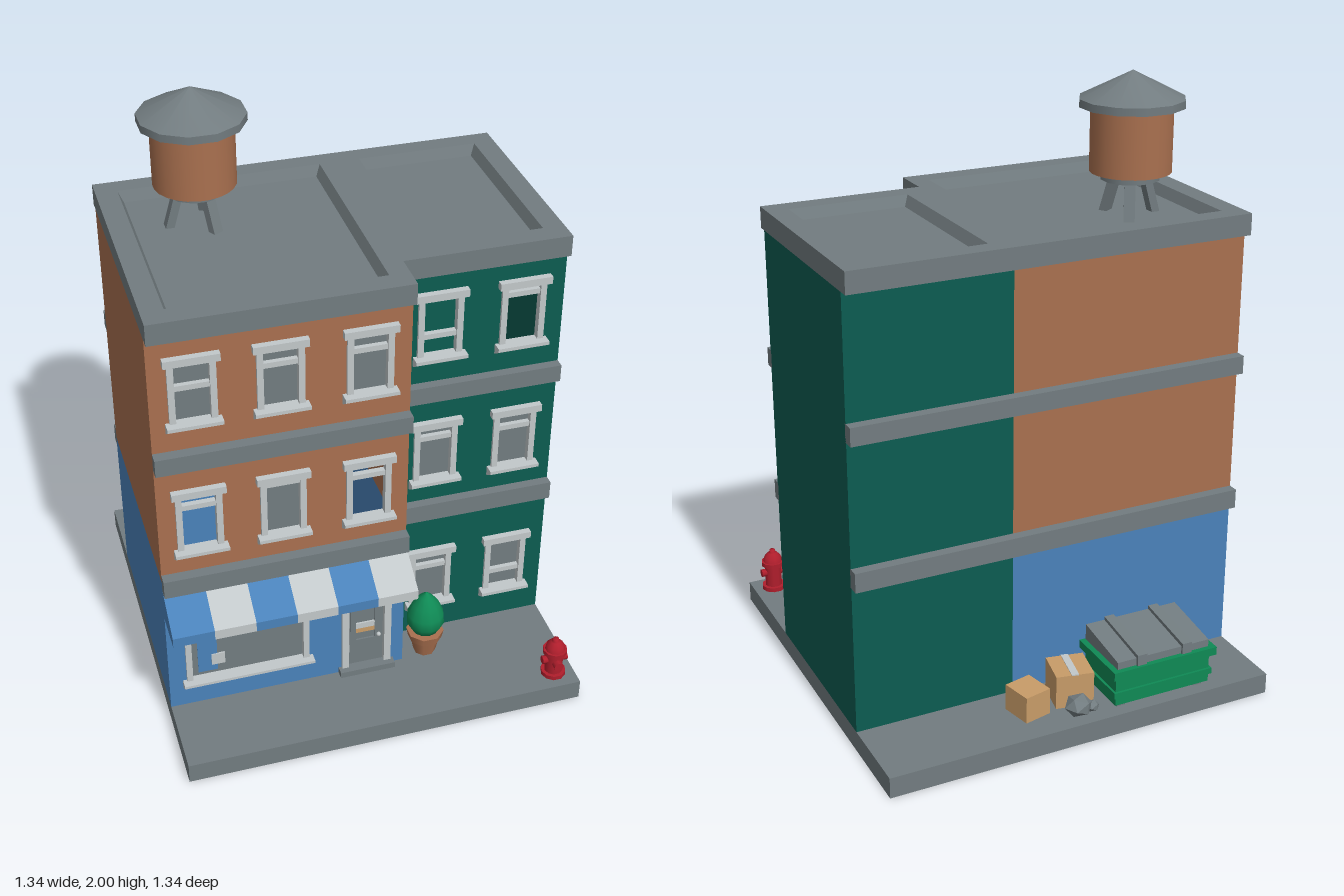
import * as THREE from 'three';

const mat = (name, color) => Object.assign(new THREE.MeshStandardMaterial({ color, side: THREE.DoubleSide }), { name });

export function createModel() {
  const root = new THREE.Group();
  const grey = mat('concrete grey', 0x727c80), brick = mat('brick orange', 0xa9704f);
  const blue = mat('shop blue', 0x4a82ba), teal = mat('wall dark green', 0x0c5c51);
  const white = mat('trim white', 0xc2c8ca), green = mat('leaf green', 0x0f8a55);
  const red = mat('hydrant red', 0xb01e2c), card = mat('cardboard tan', 0xc89c68);

  const add = (name, geo, m, x = 0, y = 0, z = 0, parent = root) => {
    const mesh = new THREE.Mesh(geo, m);
    mesh.name = name;
    mesh.position.set(x, y, z);
    parent.add(mesh);
    return mesh;
  };
  // Box given by its limits
  const box = (name, m, x0, x1, y0, y1, z0, z1, parent) =>
    add(name, new THREE.BoxGeometry(x1 - x0, y1 - y0, z1 - z0), m, (x0 + x1) / 2, (y0 + y1) / 2, (z0 + z1) / 2, parent);
  // Side profile of [z, y] points swept along x
  const sweep = (name, m, pts, x0, x1, parent) => {
    const g = new THREE.ExtrudeGeometry(new THREE.Shape(pts.map(p => new THREE.Vector2(...p))), { depth: x1 - x0, bevelEnabled: false });
    return add(name, g.rotateY(-Math.PI / 2), m, x1, 0, 0, parent);
  };
  const rectPath = (p, x0, x1, y0, y1) =>
    p.moveTo(x0, y0).lineTo(x1, y0).lineTo(x1, y1).lineTo(x0, y1).closePath();
  // Wall facing +z with rectangular openings
  const frontWall = (name, m, x0, x1, y0, y1, z, holes) => {
    const s = new THREE.Shape();
    rectPath(s, x0, x1, y0, y1);
    for (const h of holes) { const p = new THREE.Path(); rectPath(p, ...h); s.holes.push(p); }
    add(name, new THREE.ExtrudeGeometry(s, { depth: 0.02, bevelEnabled: false }), m, 0, 0, z - 0.02);
  };

  box('pavement', grey, -0.67, 0.67, 0, 0.07, -0.67, 0.67);

  // Windows: [x, base y, wall z, bar height, glazed]
  const windows = [
    [-0.54, 1.2, 0.4, 0.13, true], [-0.275, 1.2, 0.4, 0.16, true], [0, 1.2, 0.4, 0.16, true],
    [0.265, 1.2, 0.27, 0.08, false], [0.535, 1.2, 0.27, 0.185, false],
    [-0.54, 0.72, 0.4, 0.17, false], [-0.275, 0.72, 0.4, 0.2, true], [0, 0.72, 0.4, 0.17, false],
    [0.265, 0.72, 0.27, 0.17, true], [0.535, 0.72, 0.27, 0.16, true],
    [0.265, 0.19, 0.27, 0.16, true], [0.535, 0.19, 0.27, 0.08, true],
  ];
  const openings = list => list.map(([x, y]) => [x - 0.065, x + 0.065, y, y + 0.22]);

  // Hollow walls
  frontWall('shopFront', blue, -0.67, 0.13, 0.07, 0.61, 0.4, [[-0.61, -0.2, 0.17, 0.42], [-0.075, 0.075, 0.08, 0.42]]);
  frontWall('brickFront', brick, -0.67, 0.13, 0.61, 1.51, 0.4, openings(windows.filter(w => w[2] > 0.3)));
  frontWall('greenFront', teal, 0.13, 0.67, 0.07, 1.51, 0.27, openings(windows.filter(w => w[2] < 0.3)));
  for (const [m, y0, y1, n] of [[blue, 0.07, 0.61, 'shop'], [brick, 0.61, 1.51, 'brick']]) {
    box(n + 'LeftWall', m, -0.67, -0.66, y0, y1, -0.4, 0.38);
    box(n + 'RightWall', m, 0.12, 0.13, y0, y1, -0.39, 0.38);
    box(n + 'BackWall', m, -0.66, 0.13, y0, y1, -0.4, -0.39);
  }
  box('greenSideWall', teal, 0.66, 0.67, 0.07, 1.51, -0.4, 0.25);
  box('greenBackWall', teal, 0.13, 0.66, 0.07, 1.51, -0.4, -0.39);

  for (const [x, y, z, bar, glazed] of windows) {
    const w = new THREE.Group();
    w.name = 'window';
    w.position.set(x, y, z);
    root.add(w);
    box('lintel', white, -0.085, 0.085, 0.215, 0.24, -0.015, 0.022, w);
    sweep('sill', white, [[-0.015, -0.022], [0.005, -0.022], [0.035, 0], [0.035, 0.012], [-0.015, 0.012]], -0.085, 0.085, w);
    for (const s of [-1, 1]) box('jamb', white, s * 0.063 - 0.01, s * 0.063 + 0.01, 0.012, 0.215, -0.015, 0.01, w);
    box('sashBar', white, -0.054, 0.054, bar - 0.009, bar + 0.009, -0.015, 0.004, w);
    if (glazed) box('pane', grey, -0.06, 0.06, 0, 0.22, -0.018, -0.012, w);
  }

  // Floor bands
  for (const [y0, y1] of [[0.575, 0.64], [1.05, 1.11]]) {
    box('brickBand', grey, -0.67, 0.13, y0, y1, 0.395, 0.437);
    box('greenBand', grey, 0.13, 0.67, y0, y1, 0.265, 0.302);
    box('backBand', grey, -0.67, 0.67, y0, y1, -0.435, -0.395);
  }

  // Roof slab with two sunken basins (shape y is -z)
  const roof = new THREE.Shape([[-0.67, -0.435], [0.13, -0.435], [0.13, -0.3], [0.67, -0.3], [0.67, 0.435], [-0.67, 0.435]]
    .map(p => new THREE.Vector2(...p)));
  for (const r of [[-0.6, 0.065, -0.365, 0.37], [0.2, 0.6, -0.23, 0.37]]) {
    const hole = new THREE.Path();
    rectPath(hole, ...r);
    roof.holes.push(hole);
    const [x0, x1, a, b] = r, t = 0.016, v = [];
    for (const [d, y] of [[0, 1.58], [t, 1.545]])
      v.push([x0 + d, y, -b + d], [x1 - d, y, -b + d], [x1 - d, y, -a - d], [x0 + d, y, -a - d]);
    const tris = [4, 7, 6, 4, 6, 5];
    for (let i = 0; i < 4; i++) { const j = (i + 1) % 4; tris.push(i, i + 4, j + 4, i, j + 4, j); }
    const g = new THREE.BufferGeometry();
    g.setAttribute('position', new THREE.Float32BufferAttribute(tris.flatMap(i => v[i]), 3));
    g.computeVertexNormals();
    add('roofBasin', g, grey);
  }
  add('cornice', new THREE.ExtrudeGeometry(roof, { depth: 0.07, bevelEnabled: false }).rotateX(-Math.PI / 2), grey, 0, 1.51, 0);

  // Water tower
  const tower = new THREE.Group();
  tower.name = 'waterTower';
  tower.position.set(-0.39, 0, -0.165);
  root.add(tower);
  const cyl = (name, m, rt, rb, y0, y1, n, parent = tower, x = 0, z = 0) => {
    const g = new THREE.CylinderGeometry(rt, rb, y1 - y0, n).rotateY(Math.PI / n);
    return add(name, g, m, x, (y0 + y1) / 2, z, parent);
  };
  for (let i = 0; i < 3; i++) {
    const pivot = new THREE.Group();
    pivot.name = 'towerLeg';
    pivot.rotation.y = Math.PI + i * Math.PI * 2 / 3;
    tower.add(pivot);
    add('leg', new THREE.BoxGeometry(0.026, 0.14, 0.035), grey, 0.07, 1.605, 0, pivot).rotation.z = 0.28;
  }
  cyl('towerPlatform', grey, 0.095, 0.095, 1.66, 1.69, 12);
  cyl('towerBarrel', brick, 0.13, 0.13, 1.685, 1.895, 24);
  cyl('towerEave', grey, 0.168, 0.168, 1.89, 1.915, 12);
  cyl('towerRoof', grey, 0, 0.168, 1.915, 2, 12);

  // Shop window with posters
  box('shopGlass', grey, -0.61, -0.2, 0.17, 0.42, 0.383, 0.389);
  box('shopLintel', white, -0.625, -0.185, 0.41, 0.432, 0.385, 0.422);
  sweep('shopSill', white, [[0.385, 0.15], [0.405, 0.15], [0.433, 0.168], [0.433, 0.178], [0.385, 0.178]], -0.625, -0.185);
  for (const x of [-0.602, -0.208]) box('shopJamb', white, x - 0.01, x + 0.01, 0.178, 0.41, 0.385, 0.41);
  box('bluePoster', blue, -0.57, -0.505, 0.19, 0.325, 0.389, 0.391);
  box('upperPoster', white, -0.57, -0.51, 0.34, 0.385, 0.389, 0.392);
  box('lowerPoster', white, -0.525, -0.48, 0.215, 0.26, 0.389, 0.394);

  // Door
  box('transom', grey, -0.075, 0.075, 0.08, 0.42, 0.381, 0.387);
  box('doorLintel', white, -0.093, 0.093, 0.41, 0.432, 0.385, 0.422);
  for (const x of [-0.073, 0.073]) box('doorJamb', white, x - 0.012, x + 0.012, 0.09, 0.41, 0.385, 0.41);
  box('doorSlab', grey, -0.06, 0.06, 0.09, 0.355, 0.385, 0.394);
  for (const x of [-0.045, 0.04]) box('doorStile', grey, x - 0.01, x + 0.01, 0.19, 0.34, 0.392, 0.4);
  box('doorRail', grey, -0.055, 0.05, 0.18, 0.2, 0.392, 0.4);
  box('doorSign', card, -0.035, 0.03, 0.232, 0.25, 0.394, 0.4);
  box('doorSignTop', white, -0.035, 0.03, 0.25, 0.272, 0.394, 0.4);
  add('doorKnob', new THREE.SphereGeometry(0.008, 8, 6), white, 0.043, 0.212, 0.404);
  box('doorStep', grey, -0.095, 0.095, 0.07, 0.092, 0.385, 0.43);

  // Striped awning
  for (let i = 0; i < 6; i++)
    sweep('awningStripe', i % 2 ? white : blue, [[0.4, 0.46], [0.537, 0.46], [0.537, 0.495], [0.41, 0.572], [0.4, 0.572]],
      -0.67 + i * 0.8 / 6, -0.67 + (i + 1) * 0.8 / 6);

  // Potted shrub
  const lathe = (name, m, pts, n, x, z) =>
    add(name, new THREE.LatheGeometry(pts.map(p => new THREE.Vector2(...p)), n), m, x, 0, z);
  cyl('pot', brick, 0.052, 0.038, 0.07, 0.135, 8, root, 0.22, 0.37);
  cyl('potRim', brick, 0.064, 0.058, 0.13, 0.16, 8, root, 0.22, 0.37);
  lathe('shrub', green, [[0, 0.155], [0.045, 0.165], [0.064, 0.2], [0.062, 0.235], [0.045, 0.275], [0.022, 0.305], [0, 0.325]], 12, 0.22, 0.37);

  // Fire hydrant
  cyl('hydrantFoot', red, 0.042, 0.042, 0.07, 0.085, 10, root, 0.6, 0.6);
  cyl('hydrantBody', red, 0.03, 0.03, 0.08, 0.175, 10, root, 0.6, 0.6);
  cyl('hydrantCollar', red, 0.041, 0.041, 0.163, 0.178, 10, root, 0.6, 0.6);
  lathe('hydrantCap', red, [[0.034, 0.178], [0.03, 0.195], [0.016, 0.21], [0.01, 0.212], [0.01, 0.222], [0, 0.222]], 10, 0.6, 0.6);
  add('sideNozzles', new THREE.CylinderGeometry(0.014, 0.014, 0.088, 8).rotateZ(Math.PI / 2), red, 0.6, 0.135, 0.6);
  add('frontNozzle', new THREE.CylinderGeometry(0.017, 0.017, 0.045, 8).rotateX(Math.PI / 2), red, 0.6, 0.13, 0.622);

  // Dumpster
  box('dumpsterBody', green, -0.46, -0.115, 0.085, 0.2, -0.64, -0.44);
  box('dumpsterRim', green, -0.477, -0.1, 0.187, 0.215, -0.657, -0.425);
  box('dumpsterRib', green, -0.468, -0.107, 0.115, 0.135, -0.648, -0.435);
  for (const x of [-0.43, -0.145]) for (const z of [-0.61, -0.47]) box('dumpsterFoot', grey, x - 0.015, x + 0.015, 0.07, 0.09, z - 0.015, z + 0.015);
  sweep('dumpsterLid', grey, [[-0.64, 0.215], [-0.43, 0.215], [-0.43, 0.27], [-0.64, 0.24]], -0.455, -0.12);
  for (const x of [-0.37, -0.205])
    sweep('lidStrap', grey, [[-0.648, 0.215], [-0.43, 0.215], [-0.43, 0.282], [-0.648, 0.252]], x - 0.017, x + 0.017);

  // Cardboard boxes and rubbish bags
  const big = add('largeBox', new THREE.BoxGeometry(0.125, 0.115, 0.125), card, -0.022, 0.1275, -0.505);
  big.rotation.y = -0.2;
  add('boxTape', new THREE.BoxGeometry(0.024, 0.004, 0.127), white, 0, 0.058, 0, big);
  add('smallBox', new THREE.BoxGeometry(0.095, 0.09, 0.105), card, 0.138, 0.115, -0.525).rotation.y = 0.22;
  for (const [r, x] of [[0.045, 0], [0.023, -0.05]]) {
    const g = new THREE.IcosahedronGeometry(r, 0);
    g.scale(1.1, 0.8, 1);
    add('rubbishBag', g, grey, x, 0.07 + r * 0.7, -0.607).rotation.y = 0.5;
  }
  return root;
}
